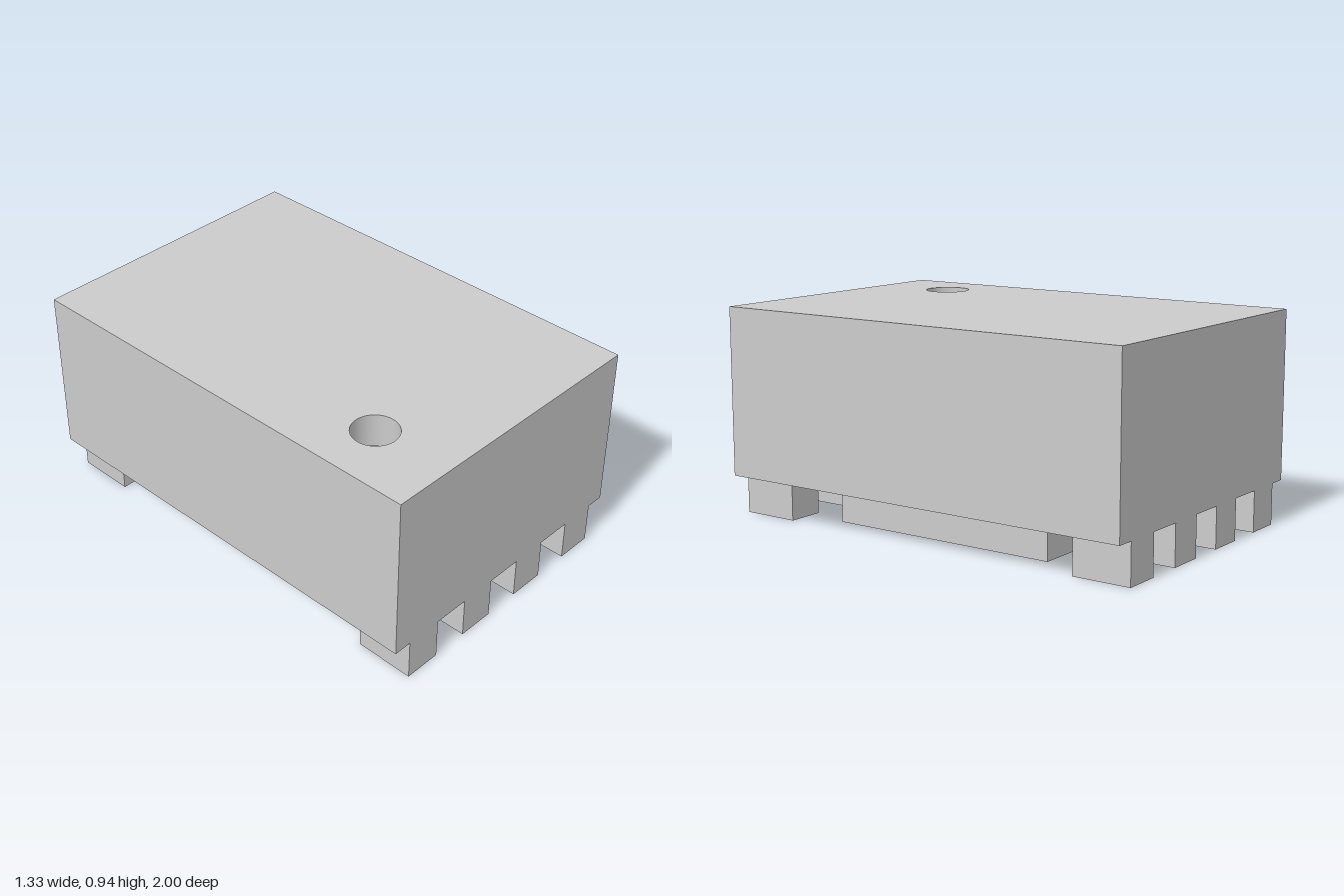
import * as THREE from 'three';

const W = 1.334, L = 2, BASE = 0.183, TOP = 0.935;
const HOLE = { x: -0.4, z: 0.63, r: 0.1, depth: 0.15 };

export function createModel() {
  const group = new THREE.Group();
  const grey = new THREE.MeshStandardMaterial({ color: 0xcccccc });
  const inner = new THREE.MeshStandardMaterial({ color: 0xcccccc, side: THREE.BackSide });

  const add = (name, geometry, x, y, z, material = grey) => {
    const mesh = new THREE.Mesh(geometry, material);
    mesh.name = name;
    mesh.position.set(x, y, z);
    group.add(mesh);
    return mesh;
  };

  // Body sides and underside: a box without its top face
  const h = TOP - BASE;
  const body = new THREE.BoxGeometry(W, h, L);
  const index = Array.from(body.index.array);
  index.splice(12, 6);
  body.setIndex(index);
  body.clearGroups();
  add('body', body, 0, BASE + h / 2, 0);

  // Top face, pierced by the round marker recess
  const face = new THREE.Shape();
  face.moveTo(-W / 2, -L / 2).lineTo(W / 2, -L / 2).lineTo(W / 2, L / 2).lineTo(-W / 2, L / 2).closePath();
  face.holes.push(new THREE.Path().absarc(HOLE.x, -HOLE.z, HOLE.r, 0, Math.PI * 2, true));
  add('bodyTop', new THREE.ShapeGeometry(face, 24).rotateX(-Math.PI / 2), 0, TOP, 0);

  // Wall and floor of the recess
  const wall = new THREE.CylinderGeometry(HOLE.r, HOLE.r, HOLE.depth, 48, 1, true);
  add('markerWall', wall, HOLE.x, TOP - HOLE.depth / 2, HOLE.z, inner);
  const floor = new THREE.CircleGeometry(HOLE.r, 48).rotateX(-Math.PI / 2);
  add('markerFloor', floor, HOLE.x, TOP - HOLE.depth, HOLE.z);

  // Large central pad underneath
  add('centrePad', new THREE.BoxGeometry(0.945, BASE, 1.086), 0, BASE / 2, 0);

  // Four legs at each end
  const leg = new THREE.BoxGeometry(0.168, BASE, 0.265);
  for (const end of [1, -1]) {
    for (let i = 0; i < 4; i++) {
      add(end > 0 ? 'frontLeg' : 'backLeg', leg, -0.5 + i / 3, BASE / 2, end * (1 - 0.265 / 2));
    }
  }
  return group;
}
